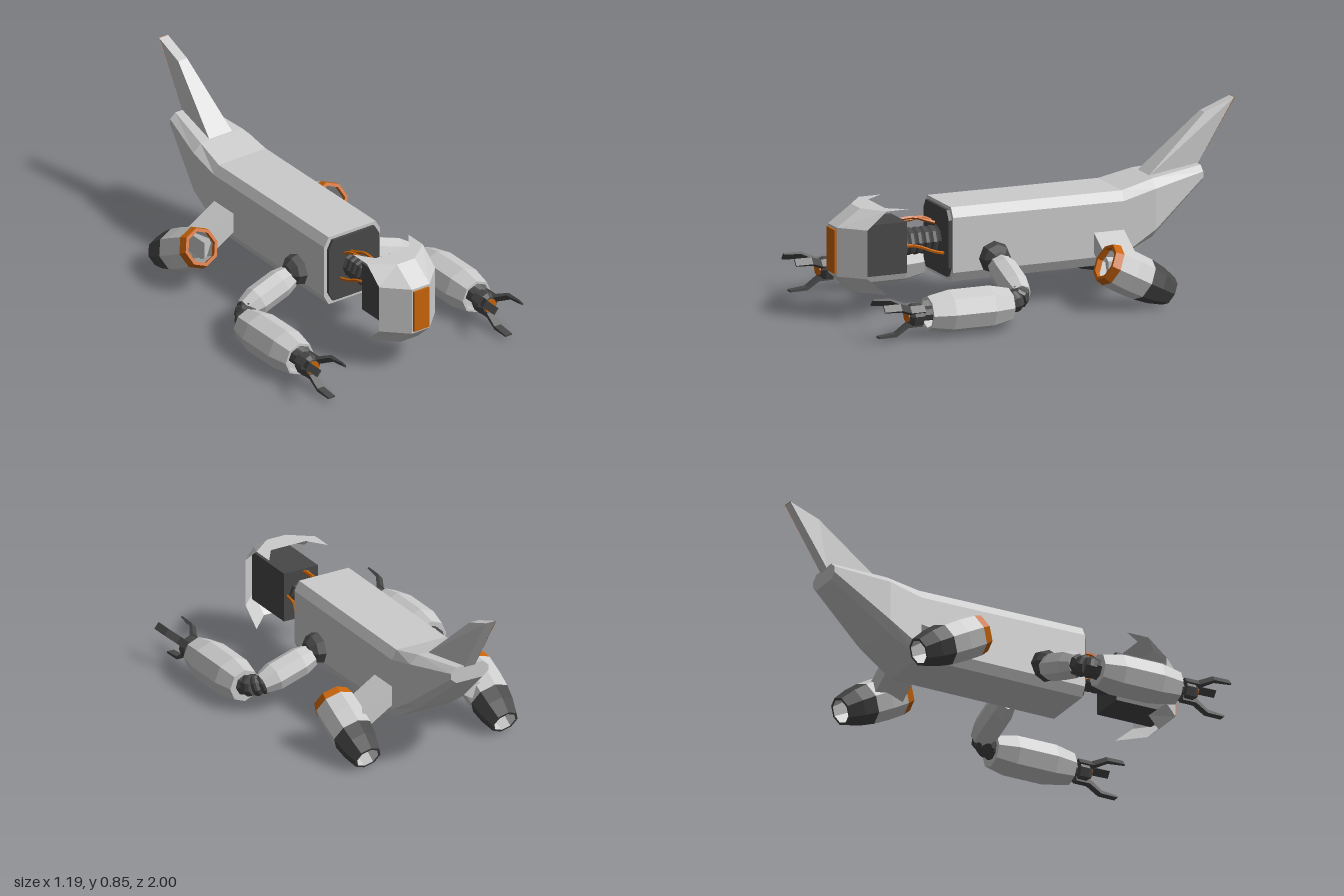
import * as THREE from 'three';

const mat = (color) => new THREE.MeshStandardMaterial({ color, flatShading: true, side: THREE.FrontSide });
const GREY = mat(0xcccccc), DARK = mat(0x484848), ORANGE = mat(0xc8640a);
const SHELL = mat(0xcccccc);
SHELL.side = THREE.DoubleSide;
const V = (x, y, z) => new THREE.Vector3(x, y, z);

function add(parent, name, geometry, material) {
  const mesh = new THREE.Mesh(geometry, material);
  mesh.name = name;
  parent.add(mesh);
  return mesh;
}

function group(parent, name) {
  const g = new THREE.Group();
  g.name = name;
  parent.add(g);
  return g;
}

// Skin over rings of [x, y, z]; each ring runs counter-clockwise seen from the first ring's end
function loft(rings) {
  const pos = [], n = rings[0].length, last = rings[rings.length - 1];
  const tri = (a, b, c) => pos.push(...a, ...b, ...c);
  for (let r = 0; r + 1 < rings.length; r++) {
    for (let k = 0; k < n; k++) {
      const j = (k + 1) % n, A = rings[r], B = rings[r + 1];
      tri(A[k], B[k], A[j]);
      tri(A[j], B[k], B[j]);
    }
  }
  for (let k = 1; k + 1 < n; k++) {
    tri(rings[0][0], rings[0][k], rings[0][k + 1]);
    tri(last[0], last[k + 1], last[k]);
  }
  const g = new THREE.BufferGeometry();
  g.setAttribute('position', new THREE.Float32BufferAttribute(pos, 3));
  g.computeVertexNormals();
  return g;
}

// Chamfered rectangle at depth z
const octagon = (z, w, y0, y1, cx, cy) => [
  [w, y0 + cy, z], [w, y1 - cy, z], [w - cx, y1, z], [cx - w, y1, z],
  [-w, y1 - cy, z], [-w, y0 + cy, z], [cx - w, y0, z], [w - cx, y0, z],
];

const lathe = (points, sides = 8) =>
  new THREE.LatheGeometry(points.map(([r, y]) => new THREE.Vector2(r, y)), sides);

// Stand an object's y axis along the line from a towards b
function aim(object, a, b) {
  object.position.copy(a);
  object.quaternion.setFromUnitVectors(V(0, 1, 0), b.clone().sub(a).normalize());
}

// Flexible joint made of bulging segments along a curve
function bellows(parent, name, curve, count, radius) {
  const g = group(parent, name);
  for (let i = 0; i < count; i++) {
    const a = curve.getPoint(i / count), b = curve.getPoint((i + 1) / count);
    const l = a.distanceTo(b), r = radius;
    const profile = [[0, -0.005], [r * 0.85, -0.005], [r, l * 0.3], [r, l * 0.7], [r * 0.85, l + 0.005], [0, l + 0.005]];
    aim(add(g, name + 'Segment', lathe(profile), DARK), a, b);
  }
}

function addBody(root) {
  const body = group(root, 'body');
  add(body, 'hull', loft([
    octagon(0.46, 0.157, 0.16, 0.507, 0.025, 0.045),
    octagon(-0.39, 0.157, 0.165, 0.503, 0.025, 0.045),
    octagon(-0.55, 0.157, 0.27, 0.54, 0.04, 0.04),
    octagon(-0.81, 0.1, 0.49, 0.568, 0.03, 0.025),
  ]), GREY);
  add(body, 'frontPlate', loft([
    octagon(0.475, 0.142, 0.18, 0.492, 0.025, 0.045),
    octagon(0.44, 0.142, 0.18, 0.492, 0.025, 0.045),
  ]), DARK);

  // Swept tail fin with a coloured trailing face
  const b = 0.03, t = 0.025;
  add(body, 'tailFin', loft([
    [[t, 0.8, -0.85], [t, 0.855, -0.997], [-t, 0.855, -0.997], [-t, 0.8, -0.85]],
    [[0.065, 0.535, -0.55], [b, 0.56, -0.81], [-b, 0.56, -0.81], [-0.065, 0.535, -0.55]],
  ]), GREY);
  add(body, 'tailFinTrailingFace', loft([
    [[t, 0.855, -1], [t, 0.855, -0.997], [-t, 0.855, -0.997], [-t, 0.855, -1]],
    [[b, 0.565, -0.813], [b, 0.565, -0.81], [-b, 0.565, -0.81], [-b, 0.565, -0.813]],
  ]), ORANGE);
}

function addHead(root) {
  const head = group(root, 'head');
  const box = add(head, 'headBox', new THREE.BoxGeometry(0.18, 0.24, 0.28), DARK);
  box.position.set(0, 0.33, 0.8);

  // Folded visor: rows of [y, centre z, side z, centre half width]
  const rows = [[0.135, 0.9, 0.79, 0.05], [0.217, 0.99, 0.885, 0.05], [0.445, 0.99, 0.885, 0.05],
    [0.525, 0.875, 0.79, 0.05], [0.525, 0.77, 0.68, 0.093]];
  const pos = [], index = [];
  rows.forEach(([y, zc, zs, c], r) => {
    pos.push(-0.157, y, zs, -c, y, zc, c, y, zc, 0.157, y, zs);
    if (r === 0) return;
    for (let k = 0; k < 3; k++) {
      const i = (r - 1) * 4 + k;
      index.push(i, i + 1, i + 5, i, i + 5, i + 4);
    }
  });
  const visor = new THREE.BufferGeometry();
  visor.setAttribute('position', new THREE.Float32BufferAttribute(pos, 3));
  visor.setIndex(index);
  visor.computeVertexNormals();
  add(head, 'visor', visor, SHELL);
  const eye = add(head, 'visorPanel', new THREE.BoxGeometry(0.086, 0.205, 0.02), ORANGE);
  eye.position.set(0, 0.331, 0.99);

  // Neck and loose cables
  bellows(head, 'neck', new THREE.LineCurve3(V(0, 0.335, 0.45), V(0, 0.335, 0.67)), 6, 0.065);
  const cables = [
    [V(-0.055, 0.4, 0.46), V(-0.05, 0.43, 0.53), V(-0.035, 0.425, 0.6), V(-0.03, 0.435, 0.68)],
    [V(-0.015, 0.4, 0.46), V(-0.02, 0.42, 0.52), V(-0.015, 0.44, 0.58), V(-0.015, 0.435, 0.68)],
    [V(0.08, 0.28, 0.46), V(0.1, 0.3, 0.53), V(0.075, 0.325, 0.6), V(0.07, 0.335, 0.68)],
    [V(-0.075, 0.28, 0.46), V(-0.07, 0.295, 0.53), V(-0.07, 0.325, 0.6), V(-0.06, 0.335, 0.68)],
  ];
  for (const path of cables) {
    add(head, 'neckCable', new THREE.TubeGeometry(new THREE.CatmullRomCurve3(path), 10, 0.008, 5), ORANGE);
  }
}

function addEngine(root, s) {
  const engine = group(root, s > 0 ? 'leftEngine' : 'rightEngine');

  // Pylon slopes down from the hull into the pod
  const section = [[0.14, 0.24], [0.32, 0.13], [0.32, 0.225], [0.14, 0.335]];
  const ring = (z) => {
    const points = section.map(([x, y]) => [s * x, y, z]);
    return s > 0 ? points : points.reverse();
  };
  add(engine, 'pylon', loft([ring(-0.24), ring(-0.39)]), GREY);

  // Hollow pod, measured from the nozzle forwards
  const pod = group(engine, 'pod');
  add(pod, 'nozzle', lathe([[0.056, 0], [0.068, 0], [0.09, 0.075], [0.1, 0.145]]), DARK);
  add(pod, 'podShell', lathe([[0.1, 0.145], [0.103, 0.23], [0.1, 0.32]]), GREY);
  add(pod, 'intakeRing', lathe([[0.1, 0.32], [0.09, 0.36], [0.074, 0.36], [0.08, 0.33]]), ORANGE);
  add(pod, 'podLiner', lathe([[0.08, 0.33], [0.085, 0.15], [0.056, 0]]), GREY);
  aim(pod, V(s * 0.365, 0.07, -0.52), V(s * 0.365, 0.237, -0.2));
}

function addArm(root, s) {
  const arm = group(root, s > 0 ? 'leftArm' : 'rightArm');
  const shoulder = add(arm, 'shoulder', new THREE.SphereGeometry(0.077, 8, 6), DARK);
  shoulder.position.set(s * 0.155, 0.26, 0.255);
  shoulder.rotation.z = Math.PI / 2;

  const upper = add(arm, 'upperArm', lathe([[0, 0], [0.055, 0], [0.069, 0.06], [0.069, 0.2], [0.05, 0.27], [0, 0.27]]), GREY);
  aim(upper, V(s * 0.2, 0.235, 0.25), V(s * 0.46, 0.148, 0.258));

  const bend = new THREE.CatmullRomCurve3([V(s * 0.43, 0.155, 0.257), V(s * 0.48, 0.135, 0.285), V(s * 0.497, 0.122, 0.37)]);
  bellows(arm, 'elbow', bend, 4, 0.052);

  // Forearm sleeve, open at the wrist
  const x = s * 0.497, y = 0.12;
  const forearm = add(arm, 'forearm', lathe([[0, 0], [0.078, 0], [0.1, 0.1], [0.1, 0.3], [0.08, 0.405], [0.068, 0.405], [0.08, 0.3], [0.08, 0.03], [0, 0.03]]), GREY);
  aim(forearm, V(x, y, 0.335), V(x, y, 1));

  // Wrist, palm and three claws
  const hand = group(arm, 'hand');
  hand.position.set(x, y, 0);
  const wrist = add(hand, 'wrist', lathe([[0, 0.36], [0.034, 0.36], [0.034, 0.77], [0.055, 0.775], [0.055, 0.82], [0.04, 0.84], [0, 0.84]]), DARK);
  wrist.rotation.x = Math.PI / 2;
  const palm = add(hand, 'palmDisc', new THREE.CylinderGeometry(0.033, 0.033, 0.012, 8), ORANGE);
  palm.rotation.x = Math.PI / 2;
  palm.position.z = 0.84;
  const path = [[0.09, 0.985, 0.004], [0.085, 0.9, 0.008], [0.045, 0.84, 0.011], [0.045, 0.77, 0.011]];
  const rings = path.map(([r, z, t]) => [[0.018, r - t, z], [0.018, r + t, z], [-0.018, r + t, z], [-0.018, r - t, z]]);
  for (const angle of [Math.PI, 0.9, -0.9]) {
    add(hand, 'claw', loft(rings), DARK).rotation.z = angle;
  }
}

export function createModel() {
  const root = new THREE.Group();
  root.name = 'flyingRobot';
  addBody(root);
  addHead(root);
  for (const s of [1, -1]) {
    addEngine(root, s);
    addArm(root, s);
  }
  return root;
}
